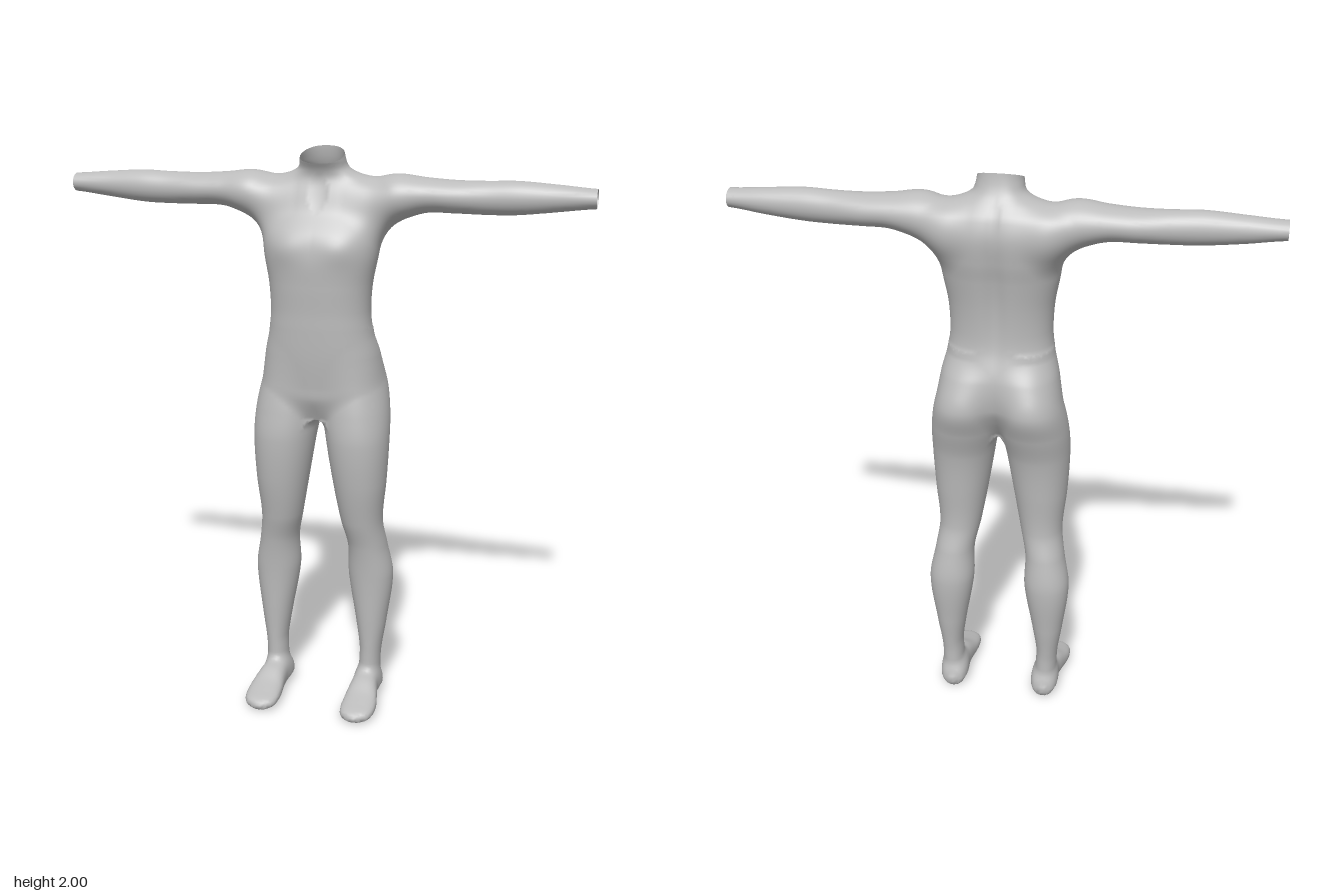
import * as THREE from 'three';

// Cross-sections of one half of the body: [position along axis, centre u, centre v, radius u, radius v]
const TORSO = [ // along y, u = x, v = z
  [1.08, 0, -0.01, 0.04, 0.06], [1.15, 0, -0.02, 0.12, 0.105], [1.2, 0, -0.03, 0.175, 0.122],
  [1.3, 0, -0.03, 0.193, 0.133], [1.4, 0, -0.015, 0.178, 0.124], [1.46, 0, -0.012, 0.173, 0.123],
  [1.55, 0, -0.012, 0.178, 0.129], [1.65, 0, -0.018, 0.196, 0.138], [1.72, 0, -0.033, 0.205, 0.137],
  [1.8, 0, -0.064, 0.21, 0.113], [1.86, 0, -0.07, 0.19, 0.092], [1.9, 0, -0.063, 0.13, 0.075],
  [1.93, 0, -0.05, 0.088, 0.07], [1.96, 0, -0.035, 0.077, 0.073], [2.0, 0, -0.022, 0.073, 0.078],
  [2.1, 0, -0.01, 0.073, 0.08],
];
const LEG = [ // along y, u = x, v = z
  [0.05, 0.175, -0.053, 0.04, 0.052], [0.15, 0.178, -0.053, 0.038, 0.052], [0.2, 0.18, -0.055, 0.04, 0.055],
  [0.3, 0.18, -0.06, 0.055, 0.065], [0.48, 0.175, -0.065, 0.08, 0.08], [0.6, 0.165, -0.05, 0.07, 0.08],
  [0.7, 0.148, -0.027, 0.074, 0.083], [0.85, 0.141, -0.017, 0.094, 0.103], [1.0, 0.132, -0.02, 0.11, 0.12],
  [1.1, 0.122, -0.04, 0.116, 0.132], [1.2, 0.112, -0.063, 0.108, 0.138], [1.3, 0.098, -0.055, 0.09, 0.112],
  [1.37, 0.09, -0.035, 0.06, 0.07],
];
const ARM = [ // along x, u = y, v = z
  [0.08, 1.82, -0.06, 0.05, 0.05], [0.16, 1.815, -0.068, 0.082, 0.085], [0.25, 1.838, -0.055, 0.079, 0.09],
  [0.35, 1.849, -0.06, 0.058, 0.077], [0.45, 1.847, -0.06, 0.054, 0.068], [0.55, 1.847, -0.057, 0.055, 0.055],
  [0.65, 1.85, -0.054, 0.055, 0.051], [0.78, 1.853, -0.055, 0.044, 0.044], [0.9, 1.856, -0.05, 0.032, 0.04],
  [0.97, 1.856, -0.05, 0.032, 0.04],
];
const FOOT = [ // along z, u = x, v = y
  [-0.12, 0.172, 0.035, 0.012, 0.015], [-0.11, 0.172, 0.04, 0.033, 0.034], [-0.08, 0.172, 0.047, 0.045, 0.045],
  [-0.02, 0.172, 0.057, 0.045, 0.055], [0.04, 0.176, 0.052, 0.052, 0.05], [0.1, 0.179, 0.038, 0.061, 0.036],
  [0.15, 0.179, 0.03, 0.061, 0.027], [0.185, 0.178, 0.025, 0.05, 0.021], [0.203, 0.176, 0.022, 0.025, 0.014],
  [0.207, 0.176, 0.02, 0.01, 0.007],
];
const WRIST = 0.905;                         // arms are open here
const neckRim = (z) => 1.964 - 0.357 * z;    // tilted open neck edge

// Approximate signed distance to a smooth loft through superellipse sections
function makeLoft(rows, power) {
  const last = rows.length - 1;
  const slopes = rows.map((_, i) => {
    const a = rows[Math.max(i - 1, 0)], b = rows[Math.min(i + 1, last)];
    return a.map((v, j) => (b[j] - v) / (b[0] - a[0]));
  });
  const s = [0, 0, 0, 0, 0];
  return (t, u, v) => {
    const tc = Math.min(Math.max(t, rows[0][0]), rows[last][0]);
    let i = 0;
    while (i < last - 1 && tc > rows[i + 1][0]) i++;
    const a = rows[i], b = rows[i + 1], h = b[0] - a[0], k = (tc - a[0]) / h;
    const k2 = k * k, k3 = k2 * k;
    for (let j = 1; j < 5; j++) {
      s[j] = (2 * k3 - 3 * k2 + 1) * a[j] + (k3 - 2 * k2 + k) * h * slopes[i][j]
        + (3 * k2 - 2 * k3) * b[j] + (k3 - k2) * h * slopes[i + 1][j];
    }
    const p = Math.abs(u - s[1]) / s[3], q = Math.abs(v - s[2]) / s[4];
    const r = Math.pow(Math.pow(p, power) + Math.pow(q, power), 1 / power);
    let d = -Math.min(s[3], s[4]);
    if (r > 0.05) {
      const e = power - 1;
      d = (r - 1) * Math.pow(r, e) / Math.hypot(Math.pow(p, e) / s[3], Math.pow(q, e) / s[4]);
    }
    return Math.max(d, rows[0][0] - t, t - rows[last][0]);
  };
}

const torso = makeLoft(TORSO, 2.25), leg = makeLoft(LEG, 2.1);
const arm = makeLoft(ARM, 2), foot = makeLoft(FOOT, 2.4);
const blend = (a, b, k) => {
  const h = Math.max(k - Math.abs(a - b), 0) / k;
  return Math.min(a, b) - h * h * k / 4;
};
const bump = (a, centre, width) => Math.exp(-(((a - centre) / width) ** 2));

// The whole body as one blended, mirrored form
function bodyField(px, y, z) {
  const x = Math.abs(px);
  let d = torso(y, x, z);
  const back = THREE.MathUtils.smoothstep(-z, 0.03, 0.09), front = THREE.MathUtils.smoothstep(z, 0, 0.06);
  d += 0.016 * back * bump(x, 0, 0.035) * bump(y, 1.6, 0.24);            // spine groove
  d -= 0.009 * front * bump(x, 0.095, 0.06) * bump(y, 1.68, 0.05);       // chest muscles
  d = blend(d, arm(x, y, z), 0.08);
  const limb = blend(leg(y, x, z), foot(z, x, y), 0.03);
  return blend(d, limb, 0.045);
}

function gradient(p) {
  const e = 0.004, f = bodyField;
  return new THREE.Vector3(
    f(p.x + e, p.y, p.z) - f(p.x - e, p.y, p.z),
    f(p.x, p.y + e, p.z) - f(p.x, p.y - e, p.z),
    f(p.x, p.y, p.z + e) - f(p.x, p.y, p.z - e)).divideScalar(2 * e);
}

// Quad mesh of the field: one vertex per surface cell, one quad per crossed grid edge
function skin() {
  const step = 0.0125, n = [155, 170, 41], low = [-77 * step, -0.03, -0.25];
  const stride = [1, n[0], n[0] * n[1]];
  const values = new Float32Array(n[0] * n[1] * n[2]);
  const each = (from, fn) => {
    for (let k = from; k < n[2] - 1; k++) for (let j = from; j < n[1] - 1; j++)
      for (let i = from; i < n[0] - 1; i++) fn(i + j * stride[1] + k * stride[2], i, j, k);
  };
  values.fill(1);
  each(0, (id, i, j, k) => {
    values[id] = bodyField(low[0] + i * step, low[1] + j * step, low[2] + k * step);
  });

  const vertices = new Map();
  each(0, (id, i, j, k) => {
    const sum = new THREE.Vector3();
    let count = 0;
    for (let c = 0; c < 8; c++) {
      const o = [c & 1, (c >> 1) & 1, c >> 2];
      const v0 = values[id + o[0] + o[1] * stride[1] + o[2] * stride[2]];
      for (let a = 0; a < 3; a++) {
        if (o[a]) continue;
        const v1 = values[id + o[0] + o[1] * stride[1] + o[2] * stride[2] + stride[a]];
        if ((v0 < 0) === (v1 < 0)) continue;
        const q = [...o];
        q[a] = v0 / (v0 - v1);
        sum.add(new THREE.Vector3(...q));
        count++;
      }
    }
    if (!count) return;
    const p = sum.divideScalar(count).add(new THREE.Vector3(i, j, k)).multiplyScalar(step)
      .add(new THREE.Vector3(...low));
    for (let pass = 0; pass < 2; pass++) {     // settle onto the surface
      const g = gradient(p);
      const move = bodyField(p.x, p.y, p.z) / Math.max(g.lengthSq(), 0.3);
      p.addScaledVector(g, -THREE.MathUtils.clamp(move, -step / 2, step / 2));
    }
    const normal = gradient(p).normalize();
    const cut = Math.abs(p.x) > WRIST || p.y > neckRim(p.z);
    p.x = THREE.MathUtils.clamp(p.x, -WRIST, WRIST);
    p.y = Math.max(0, Math.min(p.y, neckRim(p.z)));
    vertices.set(id, { p, normal, cut });
  });

  const quads = [];
  each(1, (id) => {
    for (let a = 0; a < 3; a++) {
      const inside = values[id] < 0;
      if (inside === (values[id + stride[a]] < 0)) continue;
      const b = stride[(a + 1) % 3], c = stride[(a + 2) % 3];
      const quad = [id - b - c, id - c, id, id - b].map((key) => vertices.get(key));
      if (quad.some((v) => !v) || quad.every((v) => v.cut)) continue;
      quads.push(inside ? quad : quad.reverse());
    }
  });
  return quads;
}

// Which named part a quad belongs to
function partName(quad) {
  const x = (quad[0].p.x + quad[2].p.x) / 2, y = (quad[0].p.y + quad[2].p.y) / 2;
  const side = x > 0 ? 'left' : 'right';
  if (y > 1.7 && Math.abs(x) > 0.27) return side + 'Arm';
  if (y < 0.12) return side + 'Foot';
  if (y < 1.05) return side + 'Leg';
  return y > 1.93 ? 'neck' : 'torso';
}

export function createModel() {
  const grey = new THREE.MeshStandardMaterial({ color: 0xbcbcbc, side: THREE.DoubleSide });
  grey.name = 'plain grey';
  const parts = {};
  for (const quad of skin()) (parts[partName(quad)] ??= []).push(quad);

  const model = new THREE.Group();
  model.name = 'bodyForm';
  for (const [name, quads] of Object.entries(parts)) {
    const positions = [], normals = [], index = [], ids = new Map();
    for (const quad of quads) {
      const q = quad.map((v) => {
        if (!ids.has(v)) {
          ids.set(v, ids.size);
          positions.push(...v.p.toArray());
          normals.push(...v.normal.toArray());
        }
        return ids.get(v);
      });
      index.push(q[0], q[1], q[2], q[0], q[2], q[3]);
    }
    const geometry = new THREE.BufferGeometry();
    geometry.setAttribute('position', new THREE.Float32BufferAttribute(positions, 3));
    geometry.setAttribute('normal', new THREE.Float32BufferAttribute(normals, 3));
    geometry.setIndex(index);
    const mesh = new THREE.Mesh(geometry, grey);
    mesh.name = name;
    model.add(mesh);
  }
  return model;
}
